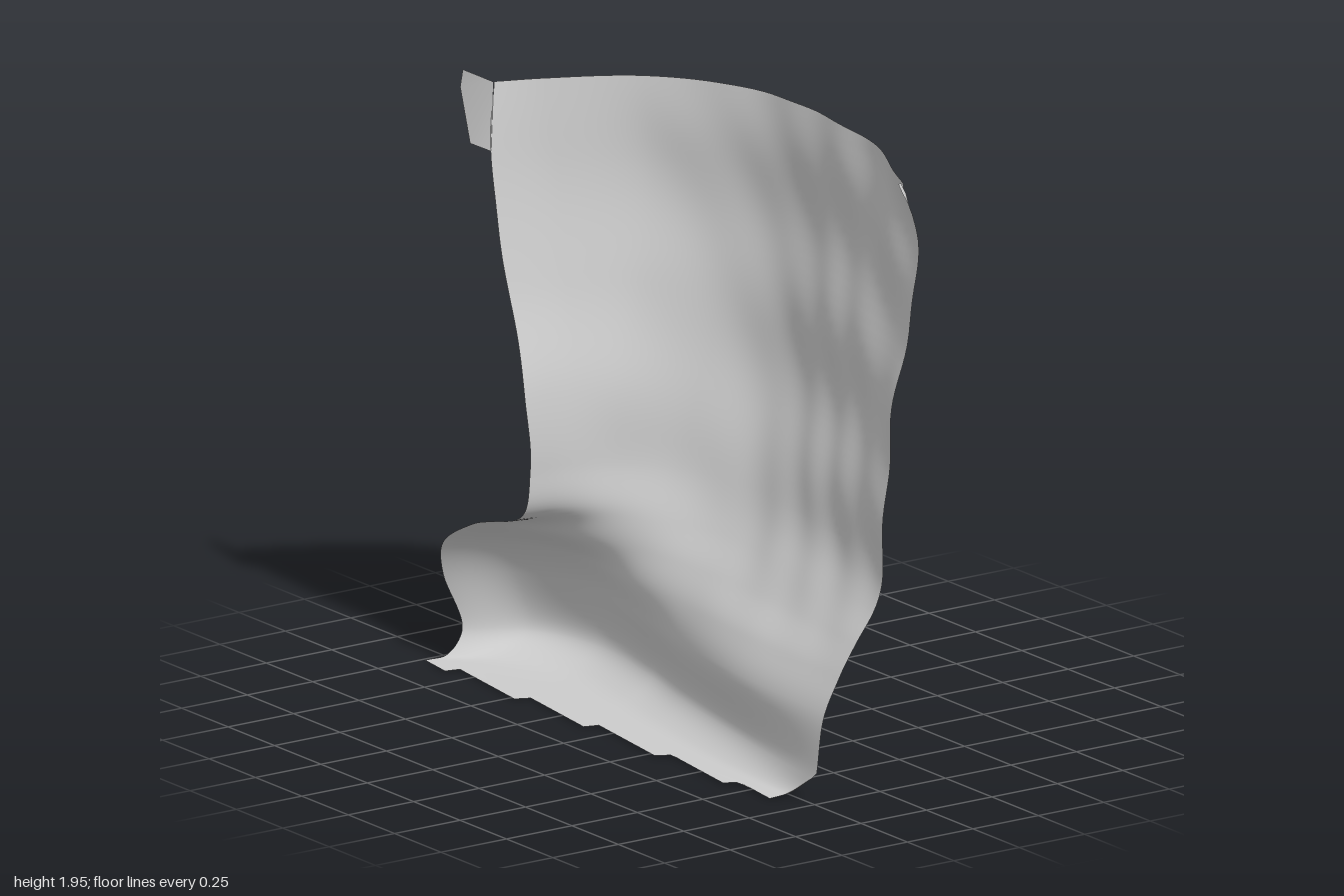
import * as THREE from 'three';

const material = new THREE.MeshStandardMaterial({ color: 0xcccccc, side: THREE.DoubleSide });

// Columns of the sheet from left end to right end: x at the waist, and how far each follows the left end
const waistX = [-0.46, -0.44, -0.37, -0.2, 0.05, 0.5, 1];
const follow = [1, 0.8, 0.45, 0.05, 0, 0, 0];

// Cross-sections from rim to floor: height, x of the left end, depth of each column
const sections = [
  [1.95, -0.69, 0.28, 0.12, -0.14, -0.315, -0.355, -0.3, -0.11],
  [1.65, -0.65, 0.31, 0.1, -0.15, -0.3, -0.345, -0.275, -0.135],
  [1.3, -0.57, 0.31, 0.12, -0.09, -0.25, -0.31, -0.22, -0.07],
  [1, -0.47, 0.31, 0.14, 0, -0.16, -0.25, -0.17, -0.025],
  [0.75, -0.45, 0.31, 0.18, 0.05, -0.08, -0.15, -0.1, -0.01],
  [0.6, -0.48, 0.31, 0.2, 0.1, 0, -0.06, -0.02, 0.03],
  [0.5, -0.76, 0.31, 0.22, 0.13, 0.045, 0.02, 0.04, 0.09],
  [0.4, -0.92, 0.31, 0.15, 0.05, 0.065, 0.08, 0.13, 0.155],
  [0.28, -0.975, 0.27, 0.08, -0.015, 0.04, 0.1, 0.185, 0.215],
  [0.09, -0.97, 0.2, 0.02, -0.055, 0, 0.07, 0.16, 0.245],
  [0.018, -0.965, 0.26, 0.13, 0.04, 0.1, 0.16, 0.23, 0.27],
];
const lip = { y: 0.006, left: -0.985, z: 0.32 };

const smoothCurve = points => new THREE.CatmullRomCurve3(points, false, 'centripetal');

function sectionCurve(y, left, depths) {
  return smoothCurve(depths.map((z, k) =>
    new THREE.Vector3(waistX[k] + follow[k] * (left - waistX[0]), y, z)));
}

// Soft irregular folds, stronger towards the right half
function folds(x, y) {
  const strength = 0.004 + 0.005 * THREE.MathUtils.smoothstep(x, -0.2, 0.6);
  const fade = THREE.MathUtils.smoothstep(y, 0.35, 0.7);
  const bend = 1.5 * Math.sin(3 * x + 2 * y);
  return strength * fade * (Math.sin(15 * y + 3 * x + bend) + 0.7 * Math.sin(8 * x - 9 * y + 2 * bend)
    + 0.4 * Math.sin(21 * x + 13 * y - bend));
}

// Lofts the open sheet through the sections
function sheetGeometry(columns, rows) {
  const rowCurves = sections.map(([y, left, ...depths]) => sectionCurve(y, left, depths));
  rowCurves.push(sectionCurve(lip.y, lip.left, waistX.map(() => lip.z)));
  const positions = [], indices = [];
  for (let i = 0; i <= columns; i++) {
    const column = smoothCurve(rowCurves.map(curve => curve.getPoint(i / columns)));
    for (let j = 0; j <= rows; j++) {
      const p = column.getPoint(j / rows);
      p.z += folds(p.x, p.y);
      // clipped right corners and stepped torn lip
      p.x = Math.min(p.x, 1 - Math.max(0, p.y - 1.88) * 0.7, 1 - Math.max(0, 0.1 - p.y) * 1.4);
      if (j === rows) p.z += 0.05 * (((p.x + 1.22) / 0.375) % 1) - 0.02;
      positions.push(p.x, Math.max(p.y, 0), p.z);
      if (i < columns && j < rows) {
        const a = i * (rows + 1) + j, b = a + rows + 1;
        indices.push(a, a + 1, b, b, a + 1, b + 1);
      }
    }
  }
  const geometry = new THREE.BufferGeometry();
  geometry.setAttribute('position', new THREE.Float32BufferAttribute(positions, 3));
  geometry.setIndex(indices);
  geometry.computeVertexNormals();
  return geometry;
}

// Small ragged flap hanging off the upper left end
function flapGeometry() {
  const geometry = new THREE.BufferGeometry();
  geometry.setAttribute('position', new THREE.Float32BufferAttribute([
    -0.688, 1.95, 0.28, -0.84, 1.955, 0.29, -0.84, 1.9, 0.3, -0.73, 1.75, 0.34, -0.662, 1.735, 0.308,
  ], 3));
  geometry.setIndex([0, 1, 2, 0, 2, 3, 0, 3, 4]);
  geometry.computeVertexNormals();
  return geometry;
}

export function createModel() {
  const group = new THREE.Group();
  const parts = { curvedShell: sheetGeometry(110, 110), cornerFlap: flapGeometry() };
  for (const [name, geometry] of Object.entries(parts)) {
    const mesh = new THREE.Mesh(geometry, material);
    mesh.name = name;
    group.add(mesh);
  }
  return group;
}
